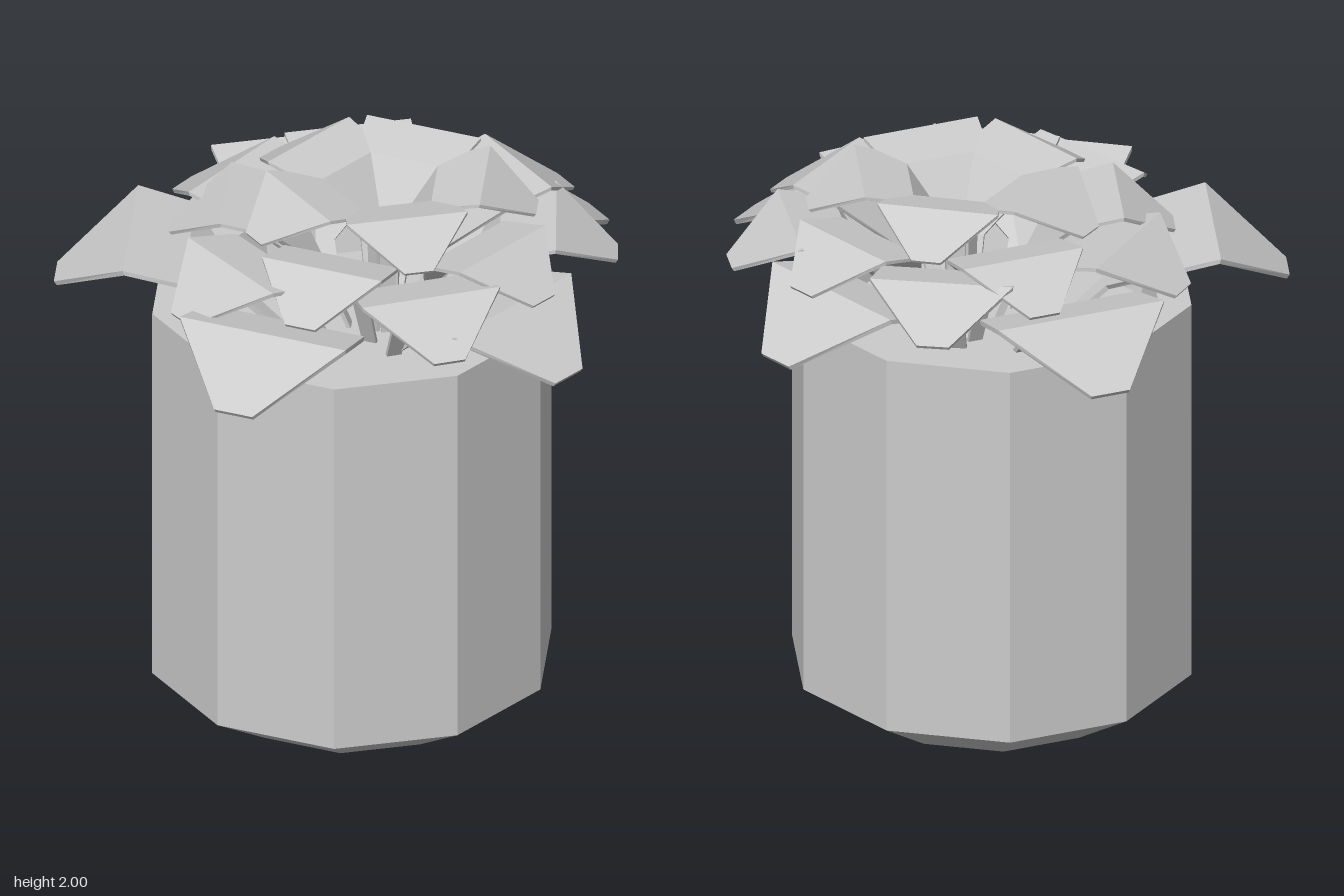
import * as THREE from 'three';

const material = new THREE.MeshStandardMaterial({ color: 0xcccccc, flatShading: true, side: THREE.DoubleSide });

// Thin folded petal running along +x; path entries are [radius, height, half width]
function petalGeometry(path, thickness) {
  const positions = [], index = [];
  path.forEach(([r, y, w], i) => {
    const a = path[Math.max(i - 1, 0)], b = path[Math.min(i + 1, path.length - 1)];
    const len = Math.hypot(b[0] - a[0], b[1] - a[1]);
    const dr = (b[1] - a[1]) / len * thickness, dy = -(b[0] - a[0]) / len * thickness;
    positions.push(r, y, w, r, y, -w, r + dr, y + dy, -w, r + dr, y + dy, w);
    if (i === path.length - 1) return;
    for (let j = 0; j < 4; j++) {
      const p = i * 4 + j, q = i * 4 + (j + 1) % 4;
      index.push(p, p + 4, q + 4, p, q + 4, q);
    }
  });
  const e = (path.length - 1) * 4;
  index.push(0, 1, 2, 0, 2, 3, e, e + 2, e + 1, e, e + 3, e + 2);
  const geometry = new THREE.BufferGeometry();
  geometry.setAttribute('position', new THREE.Float32BufferAttribute(positions, 3));
  geometry.setIndex(index);
  geometry.computeVertexNormals();
  return geometry;
}

export function createModel() {
  const model = new THREE.Group();
  model.name = 'pottedFlower';

  // Ten-sided pot with chamfered foot, rim and recessed soil
  const profile = [[0, 0], [0.45, 0], [0.695, 0.15], [0.695, 1.54], [0.58, 1.54], [0.55, 1.4], [0, 1.4]];
  const pot = new THREE.Mesh(
    new THREE.LatheGeometry(profile.map(([r, y]) => new THREE.Vector2(r, y)), 10), material);
  pot.name = 'pot';
  pot.position.x = 0.05;
  model.add(pot);

  // Four stacked rings of five petals, smaller and higher toward the middle
  const rings = [
    { name: 'outerPetals', x: 0.036, z: 0, turn: 180, scale: 1,
      path: [[0.2, 1.38, 0.03], [0.37, 1.54, 0.04], [0.54, 1.70, 0.29], [0.74, 1.75, 0.305], [0.995, 1.57, 0.07]] },
    { name: 'lowerMiddlePetals', x: 0.134, z: 0, turn: -4.7, scale: 0.82,
      path: [[0.17, 1.38, 0.025], [0.28, 1.58, 0.03], [0.42, 1.80, 0.23], [0.61, 1.84, 0.245], [0.82, 1.70, 0.055]] },
    { name: 'upperMiddlePetals', x: 0.155, z: -0.022, turn: 180, scale: 0.75,
      path: [[0.1, 1.38, 0.025], [0.21, 1.65, 0.03], [0.36, 1.85, 0.21], [0.535, 1.89, 0.22], [0.725, 1.76, 0.055]] },
    { name: 'innerPetals', x: 0.16, z: -0.022, turn: 0, scale: 0.7,
      path: [[0.03, 1.38, 0.02], [0.04, 1.78, 0.03], [0.17, 1.96, 0.18], [0.342, 2.0, 0.21], [0.52, 1.885, 0.05]] },
  ];
  for (const { name, x, z, turn, scale, path } of rings) {
    const ring = new THREE.Group();
    ring.name = name;
    ring.position.set(x, 0, z);
    const geometry = petalGeometry(path, 0.018 * scale);
    for (let i = 0; i < 5; i++) {
      const petal = new THREE.Mesh(geometry, material);
      petal.name = 'petal';
      petal.rotation.y = -THREE.MathUtils.degToRad(turn + i * 72);
      ring.add(petal);
    }
    model.add(ring);
  }
  return model;
}
